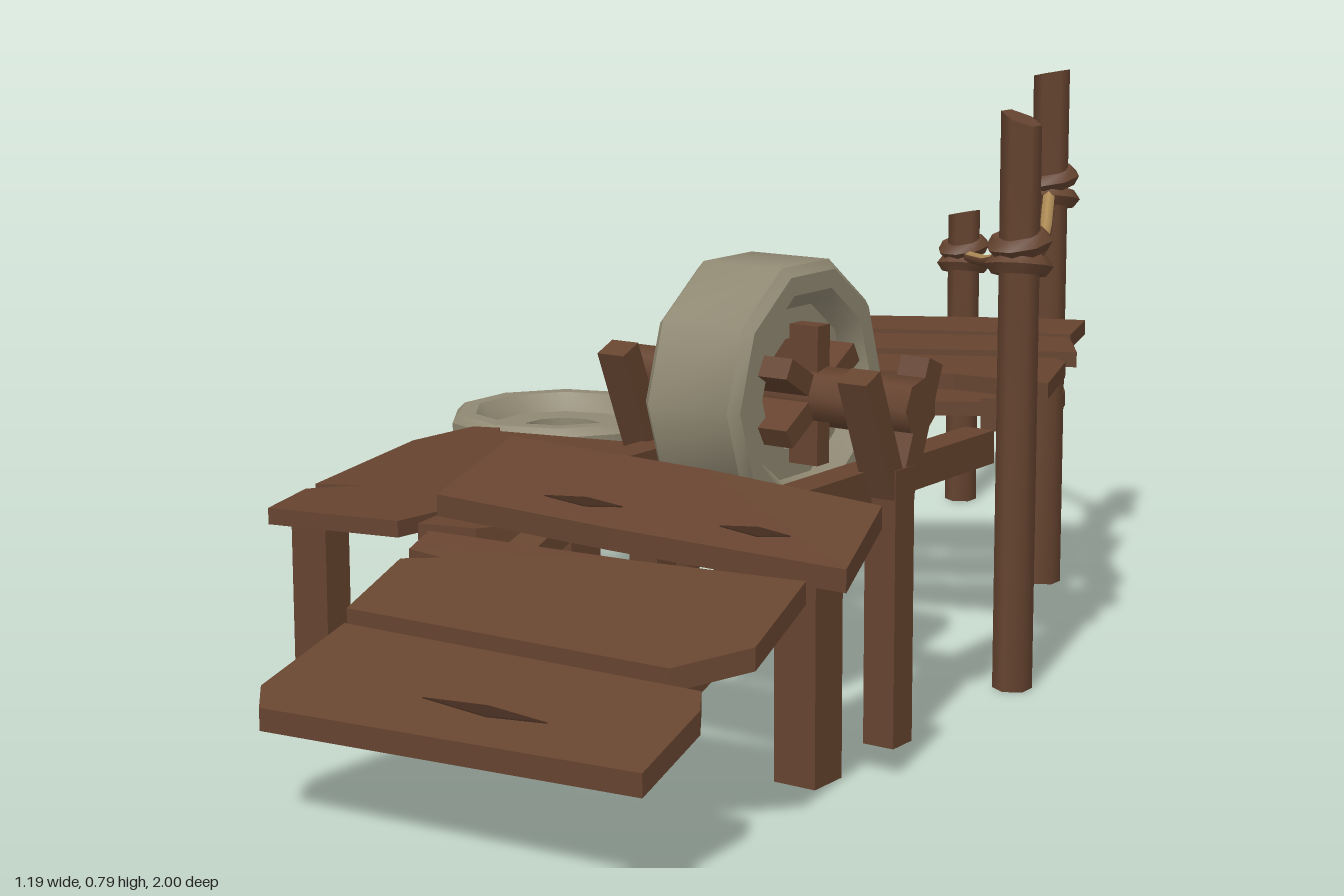
import * as THREE from 'three';
import { toCreasedNormals } from 'three/addons/utils/BufferGeometryUtils.js';

const material = (name, color) => {
  const m = new THREE.MeshStandardMaterial({ color });
  m.name = name;
  return m;
};

export function createModel() {
  const model = new THREE.Group();
  const wood = material('wood', 0x65432f);
  const crackWood = material('crack wood', 0x3f291d);
  const stone = material('stone', 0x8f8872);
  const ropeTan = material('rope', 0xb08d57);
  const V = (x, y, z) => new THREE.Vector3(x, y, z);

  const add = (name, geo, mat = wood) => {
    const mesh = new THREE.Mesh(geo, mat);
    mesh.name = name;
    model.add(mesh);
    return mesh;
  };

  // Flat board from an [x, z] outline; slope lowers it towards +z from zMid
  const board = (name, pts, y, thick, slope = 0, zMid = 0, mat = wood) => {
    const shape = new THREE.Shape(pts.map(([x, z]) => new THREE.Vector2(x, -z)));
    const geo = new THREE.ExtrudeGeometry(shape, { depth: thick, bevelEnabled: false });
    geo.rotateX(-Math.PI / 2);
    const p = geo.attributes.position;
    for (let i = 0; i < p.count; i++) p.setY(i, p.getY(i) + y - slope * (p.getZ(i) - zMid));
    geo.computeVertexNormals();
    return add(name, geo, mat);
  };

  // Narrow split painted on a board
  const crack = (x, z, len, y, slope = 0, zMid = 0) =>
    board('crack', [[x - len, z], [x, z - 0.009], [x + len, z - 0.002], [x + 0.01, z + 0.008]],
      y, 0.003, slope, zMid, crackWood);

  // Square timber between two points
  const beam = (name, a, b, w, d = w) => {
    const mesh = add(name, new THREE.BoxGeometry(w, d, a.distanceTo(b)));
    mesh.position.copy(a).lerp(b, 0.5);
    mesh.lookAt(b);
    return mesh;
  };

  // Upright square leg
  const leg = (x, z, h, w = 0.06, d = 0.045) => {
    add('leg', new THREE.BoxGeometry(w, h, d)).position.set(x, h / 2, z);
  };

  // Six-sided pole with a slanted top
  const pole = (x, z, h, tilt) => {
    const geo = new THREE.CylinderGeometry(0.027, 0.027, h, 6);
    const p = geo.attributes.position;
    for (let i = 0; i < p.count; i++) if (p.getY(i) > 0) p.setY(i, p.getY(i) + tilt * p.getX(i));
    add('pole', toCreasedNormals(geo, 1.1)).position.set(x, h / 2, z);
  };

  // Two uneven coils wound round a pole
  const coils = (x, y, z) => [-1, 1].forEach((s) => {
    const geo = toCreasedNormals(new THREE.TorusGeometry(0.032, 0.014, 5, 8).rotateX(Math.PI / 2), 0.8);
    const ring = add('ropeCoil', geo);
    ring.position.set(x, y + s * 0.015, z);
    ring.rotation.set(0.1 * s, s, 0.12);
  });

  // Sagging rope, tan on its upper faces
  const rope = (...pts) => {
    const geo = new THREE.TubeGeometry(new THREE.CatmullRomCurve3(pts), 8, 0.01, 6).toNonIndexed();
    const p = geo.attributes.position;
    const [a, b, c] = [V(), V(), V()];
    for (let i = 0; i < p.count; i += 3) {
      a.fromBufferAttribute(p, i);
      b.fromBufferAttribute(p, i + 1).sub(a);
      c.fromBufferAttribute(p, i + 2).sub(a);
      geo.addGroup(i, 3, b.cross(c).normalize().y > 0.4 ? 1 : 0);
    }
    add('rope', geo, [wood, ropeTan]);
  };

  // Rope poles along the right-hand edge
  pole(0.465, 0.01, 0.775, -0.4);
  pole(0.215, -0.53, 0.79, 0.2);
  pole(-0.185, -0.96, 0.505, 0.2);
  coils(0.465, 0.595, 0.01);
  coils(0.215, 0.615, -0.53);
  coils(-0.185, 0.43, -0.96);
  rope(V(0.465, 0.59, 0.01), V(0.385, 0.56, -0.17), V(0.3, 0.565, -0.36), V(0.215, 0.615, -0.53));
  rope(V(0.215, 0.61, -0.53), V(0.09, 0.515, -0.665), V(-0.04, 0.45, -0.81), V(-0.185, 0.43, -0.96));

  // Inner poles with the low rope
  pole(-0.195, -0.27, 0.38, 0);
  pole(-0.025, 0.1, 0.38, 0);
  coils(-0.195, 0.325, -0.27);
  coils(-0.025, 0.345, 0.1);
  rope(V(-0.195, 0.32, -0.27), V(-0.14, 0.285, -0.15), V(-0.08, 0.29, -0.03), V(-0.025, 0.34, 0.1));

  // Upper deck: three planks on two beams
  board('upperPlank', [[-0.25, -0.25], [0.2, -0.5], [0.28, -0.53], [0.325, -0.4], [0.1, -0.3],
    [-0.16, -0.17], [-0.2, -0.19]], 0.395, 0.022);
  board('upperPlank', [[-0.18, -0.12], [0.1, -0.26], [0.33, -0.38], [0.36, -0.34], [0.405, -0.27],
    [0.16, -0.14], [-0.11, 0.0]], 0.395, 0.022);
  board('upperPlank', [[-0.1, 0.02], [0.2, -0.11], [0.4, -0.21], [0.43, -0.19], [0.49, -0.03],
    [0.35, -0.02], [0.2, 0.03], [-0.05, 0.14], [-0.07, 0.09], [0.02, 0.05], [-0.08, 0.07]], 0.395, 0.022);
  beam('deckBeam', V(-0.23, 0.372, -0.31), V(-0.02, 0.372, 0.11), 0.045);
  beam('deckBeam', V(0.19, 0.372, -0.5), V(0.43, 0.372, 0.0), 0.045);

  // Low rear step
  board('rearStep', [[-0.305, -0.41], [0.13, -0.66], [0.175, -0.66], [0.2, -0.62], [0.235, -0.53],
    [-0.23, -0.25], [-0.25, -0.27], [-0.14, -0.34], [-0.27, -0.3]], 0.262, 0.022);
  leg(0.157, -0.62, 0.265, 0.036);
  leg(-0.25, -0.38, 0.265, 0.055, 0.06);

  // Side deck
  board('sideDeck', [[-0.43, 0.07], [-0.39, 0.055], [-0.375, 0.075], [-0.13, 0.02], [-0.09, 0.1], [-0.11, 0.015],
    [-0.02, 0.0], [0.08, 0.44], [0.0, 0.58], [-0.08, 0.6], [-0.1, 0.5], [-0.11, 0.605],
    [-0.3, 0.645], [-0.34, 0.53], [-0.29, 0.47], [-0.35, 0.5], [-0.435, 0.2]], 0.248, 0.022);
  leg(-0.395, 0.14, 0.25, 0.07, 0.06);
  leg(-0.25, 0.6, 0.25);
  leg(-0.02, 0.5, 0.25);

  // Ramp planks and their sloped runners
  const slope = 0.38;
  board('rampPlank', [[-0.02, 0.48], [0.3, 0.49], [0.565, 0.51], [0.595, 0.635], [0.25, 0.63],
    [-0.03, 0.62]], 0.315, 0.028, slope, 0.555);
  board('rampPlank', [[-0.01, 0.66], [0.3, 0.65], [0.54, 0.635], [0.555, 0.76], [0.48, 0.82],
    [0, 0.825], [-0.005, 0.72], [0.05, 0.705], [-0.008, 0.7]], 0.225, 0.028, slope, 0.735);
  board('rampPlank', [[0.005, 0.835], [0.53, 0.83], [0.55, 0.86], [0.552, 0.97], [0.02, 1.0],
    [-0.01, 0.965]], 0.145, 0.028, slope, 0.915);
  crack(0.18, 0.59, 0.06, 0.3415, slope, 0.555);
  crack(0.44, 0.595, 0.05, 0.3415, slope, 0.555);
  crack(0.3, 0.93, 0.09, 0.1715, slope, 0.915);
  for (const x of [0.09, 0.45]) beam('rampRunner', V(x, 0.14, 0.88), V(x, 0.3, 0.46), 0.045, 0.03);

  // Wheel stand: long beams, legs and forked axle rests
  for (const [beamX, x] of [[0.12, 0.085], [0.42, 0.455]]) {
    beam('standBeam', V(beamX, 0.335, 0.03), V(beamX, 0.335, 0.5), 0.045);
    leg(x, 0.5, 0.32, 0.06, 0.06);
    leg(x, 0.315, 0.36, 0.045, 0.045);
    for (const s of [-1, 1]) {
      beam('axleFork', V(x, 0.33, 0.315 + s * 0.01), V(x, 0.485, 0.315 + s * 0.075), 0.042, 0.035);
    }
  }

  // Axle and the wedges that hold the wheel on it
  const axle = add('axle', toCreasedNormals(new THREE.CylinderGeometry(0.037, 0.037, 0.46, 7), 0.95));
  axle.rotation.z = Math.PI / 2;
  axle.position.set(0.27, 0.44, 0.315);
  for (let i = 0; i < 6; i++) {
    const a = (i * Math.PI) / 3;
    const wedge = add('wheelWedge', new THREE.BoxGeometry(0.18, 0.06, 0.028));
    wedge.position.set(0.265, 0.44 + 0.06 * Math.cos(a), 0.315 + 0.06 * Math.sin(a));
    wedge.rotation.x = a;
  }

  // Stone wheels with a recessed face around the hole
  const wheel = (name, hole) => {
    const half = [[hole, 0.045], [0.115, 0.045], [0.138, 0.072], [0.163, 0.072], [0.175, 0.06]];
    const profile = [
      ...half.map(([r, y]) => new THREE.Vector2(r, -y)),
      ...half.slice().reverse().map(([r, y]) => new THREE.Vector2(r, y)),
      new THREE.Vector2(hole, -0.045),
    ];
    // Separate copies of each face keep the rims crisp
    return add(name, toCreasedNormals(new THREE.LatheGeometry(profile, 10), 0.7), stone);
  };
  const standing = wheel('standingWheel', 0.075);
  standing.rotation.z = Math.PI / 2;
  standing.position.set(0.267, 0.44, 0.315);
  wheel('lyingWheel', 0.06).position.set(-0.425, 0.193, -0.14);

  return model;
}
